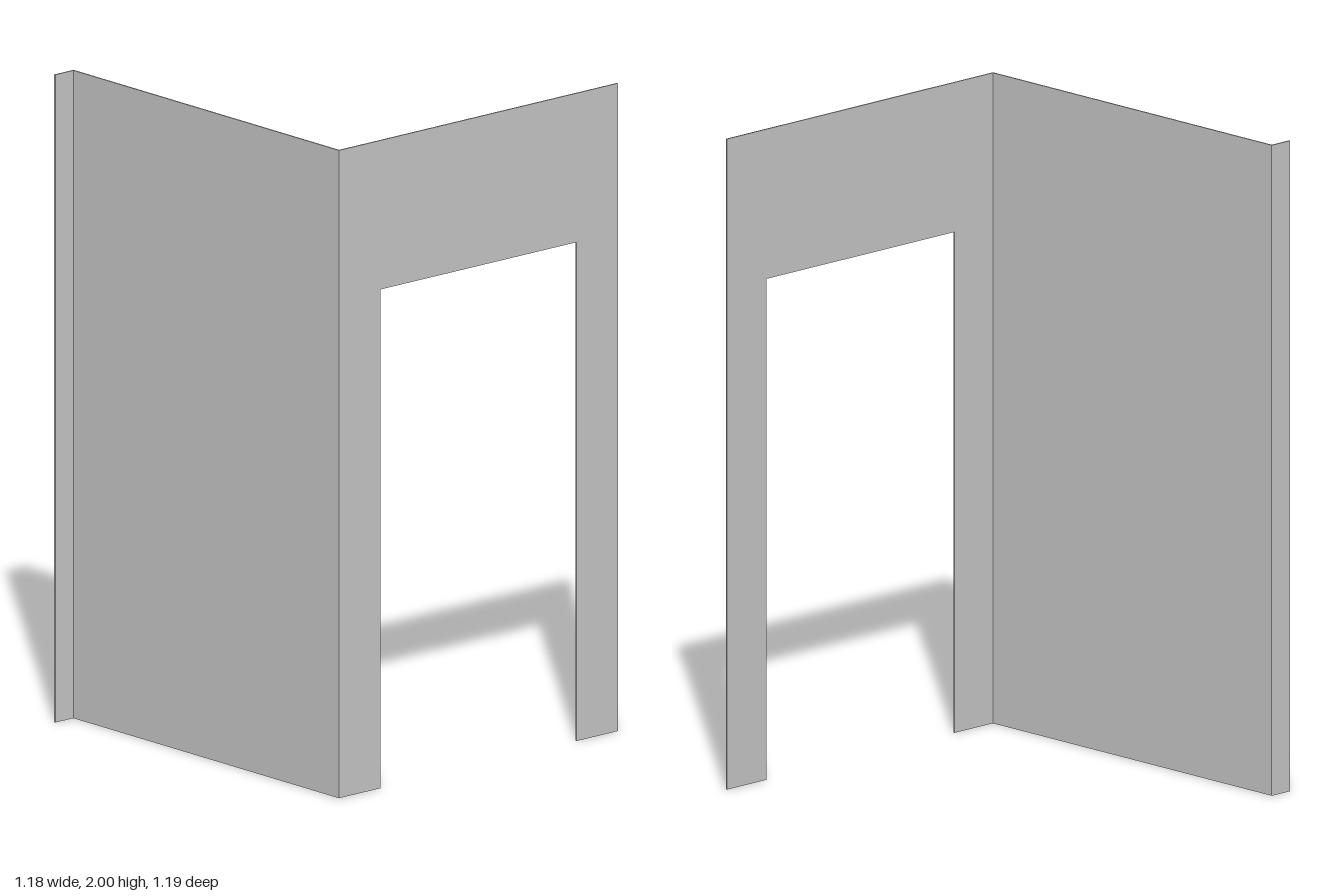
import * as THREE from 'three';

const H = 2, T = 0.005;          // wall height and sheet thickness
const X0 = -0.52, X1 = 0.592;    // front wall extent
const Z = 0.595;                 // half depth

export function createModel() {
  const group = new THREE.Group();
  const material = new THREE.MeshStandardMaterial({
    color: 0xcccccc, flatShading: true, side: THREE.DoubleSide,
  });

  const add = (name, geometry, x, y, z) => {
    const mesh = new THREE.Mesh(geometry, material);
    mesh.name = name;
    mesh.position.set(x, y, z);
    group.add(mesh);
  };

  // Front wall with a doorway open to the floor
  const outline = new THREE.Shape([
    [X0, 0], [-0.355, 0], [-0.355, 1.54], [0.428, 1.54],
    [0.428, 0], [X1, 0], [X1, H], [X0, H],
  ].map(([x, y]) => new THREE.Vector2(x, y)));
  add('frontWall', new THREE.ExtrudeGeometry(outline, { depth: T, bevelEnabled: false }), 0, 0, Z - T);

  // Full side wall running back from the front corner
  add('sideWall', new THREE.BoxGeometry(T, H, 2 * Z - T), X0 + T / 2, H / 2, -T / 2);

  // Narrow return turned outward at the back edge
  const returnWidth = X0 + X1;
  add('backReturn', new THREE.BoxGeometry(returnWidth, H, T), X0 - returnWidth / 2, H / 2, -Z + T / 2);

  return group;
}
